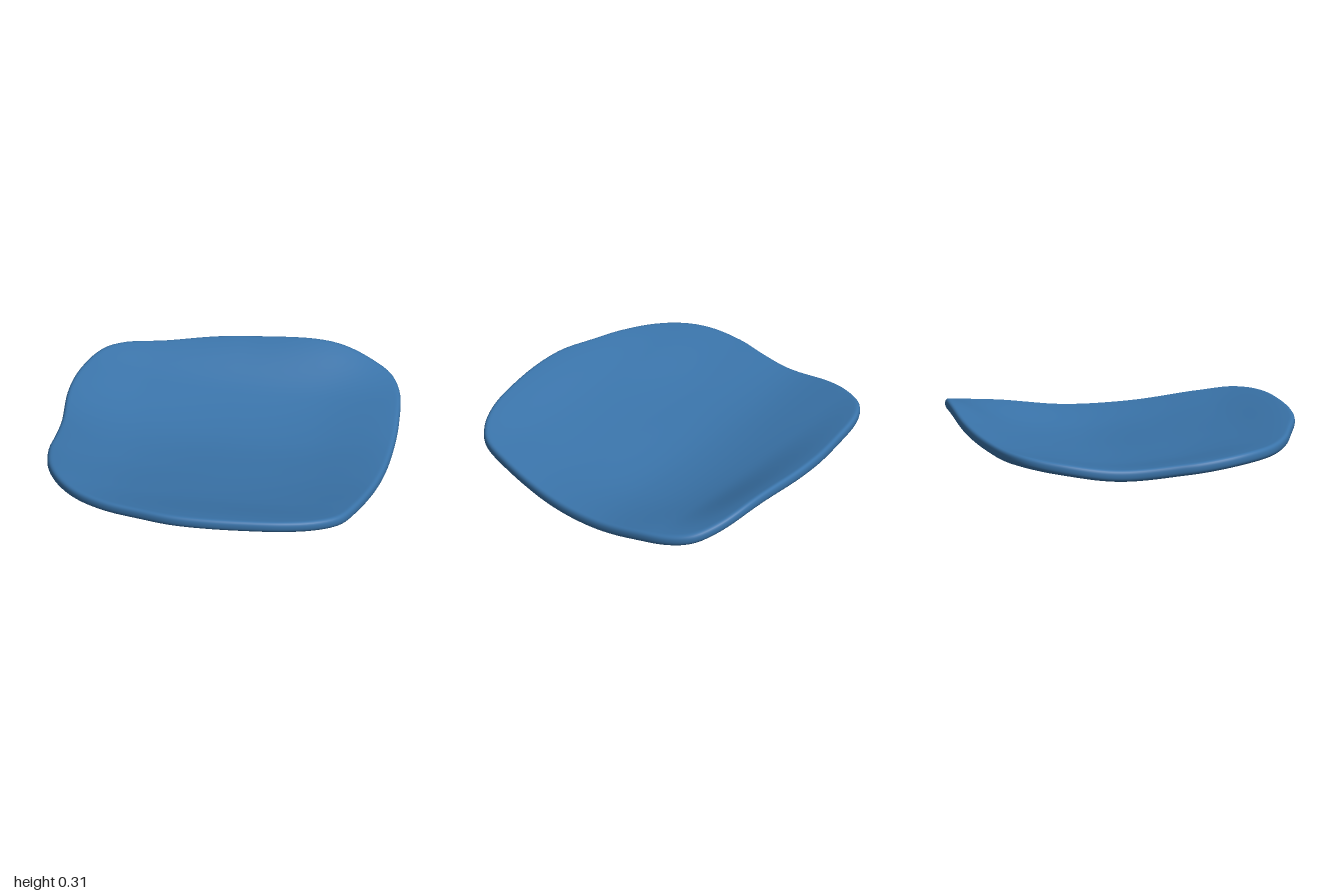
import * as THREE from 'three';

// Plan outline as x, z pairs, counterclockwise seen from above
const OUTLINE = [
  [-1, 0.25], [-0.975, 0.45], [-0.9, 0.61], [-0.78, 0.74], [-0.6, 0.845], [-0.4, 0.912], [-0.2, 0.97],
  [0, 0.985], [0.25, 0.97], [0.5, 0.93], [0.68, 0.86], [0.8, 0.76], [0.87, 0.58], [0.925, 0.35],
  [0.97, 0.08], [0.99, -0.2], [0.99, -0.45], [0.96, -0.7], [0.89, -0.84], [0.78, -0.915], [0.6, -0.975],
  [0.2, -0.99], [-0.15, -0.97], [-0.45, -0.91], [-0.7, -0.85], [-0.82, -0.77], [-0.92, -0.6],
  [-0.97, -0.4], [-0.97, -0.1], [-0.985, 0.1],
];

// Middle-surface heights: rows from back (z = -1) to front (z = 1), each from x = -1 to x = 1
const HEIGHTS = [
  [0.31, 0.27, 0.275, 0.285, 0.19],
  [0.235, 0.165, 0.125, 0.115, 0.15],
  [0.178, 0.1, 0.062, 0.052, 0.1],
  [0.205, 0.12, 0.095, 0.085, 0.115],
  [0.25, 0.19, 0.165, 0.16, 0.185],
  [0.27, 0.27, 0.268, 0.26, 0.25],
];

// Smooth value through evenly spaced samples over -1 .. 1
function smooth(values, t) {
  const curve = new THREE.SplineCurve(values.map((v, i) => new THREE.Vector2(i, v)));
  return curve.getPoint((t + 1) / 2).y;
}
const middle = (x, z) => smooth(HEIGHTS.map((row) => smooth(row, x)), z);

// Half thickness, a little thinner towards the rim
const halfAt = (s) => 0.045 - 0.009 * s * s;

// Section from the top centre, round the rim, to the bottom centre: [scale, height]
function sectionProfile() {
  const flat = 24, round = 14, rim = 0.035;
  const top = [], edge = [];
  for (let i = 0; i < flat; i++) {
    const s = (1 - rim) * i / flat;
    top.push([s, halfAt(s)]);
  }
  for (let i = 0; i <= round; i++) {
    const a = Math.PI / 2 - Math.PI * i / round;
    // squarer than a half ellipse, so the side wall stands upright
    const out = Math.max(0, Math.cos(a)) ** 0.75;
    const up = Math.sign(Math.sin(a)) * Math.abs(Math.sin(a)) ** 0.85;
    edge.push([1 - rim + rim * out, halfAt(1) * up]);
  }
  const bottom = top.map(([s, h]) => [s, -h]).reverse();
  return [...top, ...edge, ...bottom];
}

function curvedSlab() {
  const n = 160;
  const loop = new THREE.CatmullRomCurve3(OUTLINE.map(([x, z]) => new THREE.Vector3(x, 0, z)), true)
    .getSpacedPoints(n);
  const profile = sectionProfile();
  const positions = [], index = [];
  profile.forEach(([s, h], j) => {
    for (let i = 0; i < n; i++) {
      const x = loop[i].x * s, z = loop[i].z * s;
      positions.push(x, middle(x, z) + h, z);
      if (j === profile.length - 1) continue;
      const k = (i + 1) % n;
      const a = j * n + i, b = a + n, c = j * n + k, d = c + n;
      // single triangles where a ring closes to the centre
      if (j > 0) index.push(a, b, c);
      if (j === 0) index.push(a, b, d);
      else if (j < profile.length - 2) index.push(c, b, d);
    }
  });
  const geometry = new THREE.BufferGeometry();
  geometry.setAttribute('position', new THREE.Float32BufferAttribute(positions, 3));
  geometry.setIndex(index);
  geometry.computeVertexNormals();
  return geometry;
}

export function createModel() {
  const group = new THREE.Group();
  group.name = 'curvedSeatPad';
  const pad = new THREE.Mesh(curvedSlab(), new THREE.MeshStandardMaterial({ color: 0x3a74aa }));
  pad.name = 'seatPad';
  group.add(pad);
  return group;
}
